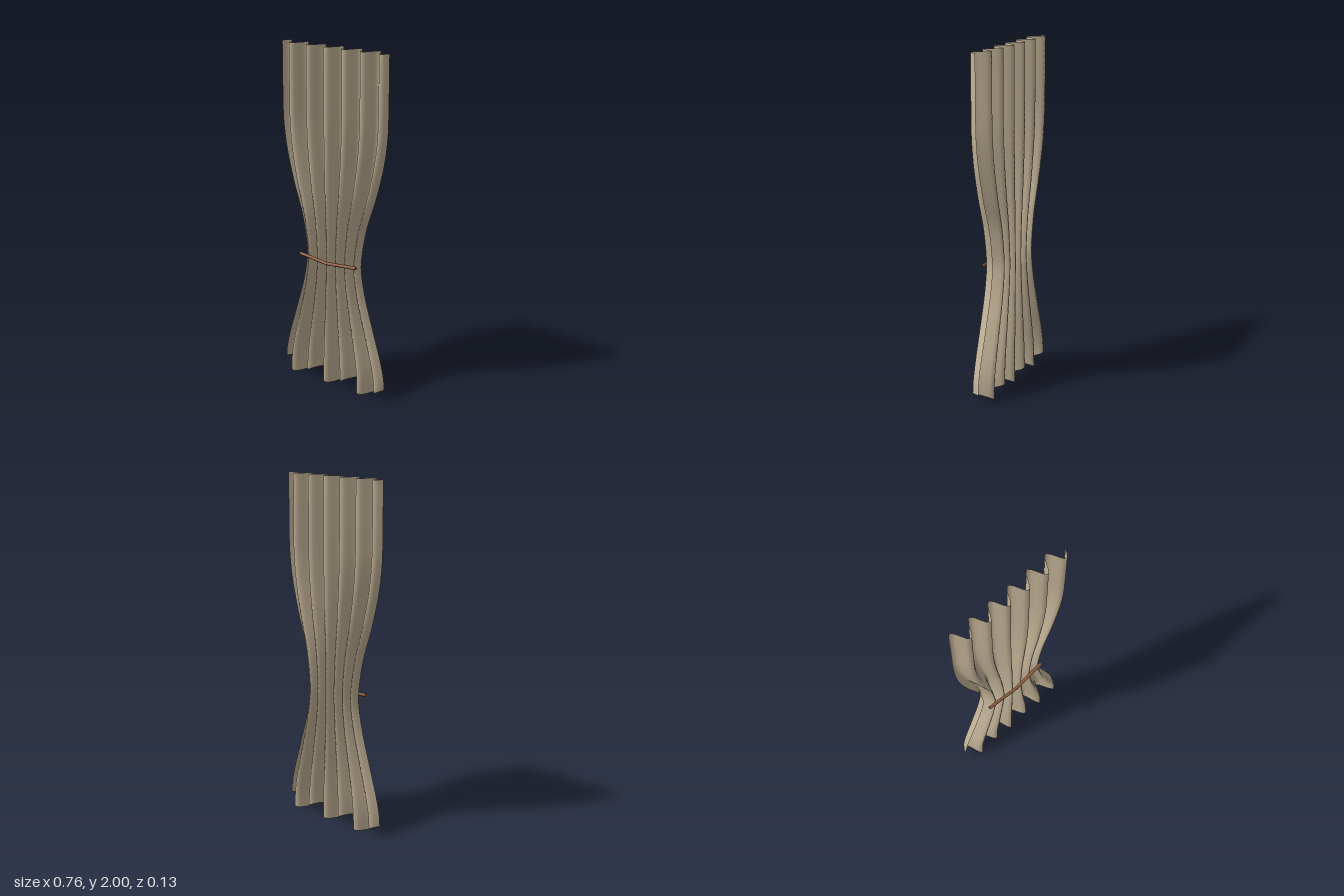
import * as THREE from 'three';

const HEIGHT = 2, FOLDS = 6;

// half width of the gathered cloth, as (half width, height) points
const sideCurve = new THREE.CatmullRomCurve3([
  [0.377, 0], [0.373, 0.1], [0.353, 0.2], [0.29, 0.4], [0.229, 0.6], [0.201, 0.75],
  [0.203, 0.82], [0.236, 1.0], [0.303, 1.2], [0.354, 1.4], [0.374, 1.55], [0.377, 1.65], [0.377, 2],
].map(([w, y]) => new THREE.Vector3(w, y, 0)));
const sidePoints = sideCurve.getPoints(200);

function halfWidthAt(y) {
  const i = Math.max(1, sidePoints.findIndex((p) => p.y >= y - 1e-6));
  const a = sidePoints[i - 1], b = sidePoints[i];
  return THREE.MathUtils.mapLinear(y, a.y, b.y, a.x, b.x);
}

// pleated sheet: sine folds, scalloped hem, pinched at the tie
function makeCurtain() {
  const geo = new THREE.PlaneGeometry(1, 1, 60, 60);
  const pos = geo.attributes.position;
  for (let i = 0; i < pos.count; i++) {
    const s = pos.getX(i), v = pos.getY(i) + 0.5;
    const hem = 0.03 - 0.03 * Math.cos(s * Math.PI * FOLDS);
    const y = hem + (HEIGHT - hem) * v;
    const depth = 0.053 - 0.009 * v;
    const z = -0.011 - depth * Math.sin(s * Math.PI * 2 * FOLDS);
    pos.setXYZ(i, s * 2 * halfWidthAt(y), y, z);
  }
  geo.computeVertexNormals();
  return geo;
}

// capped rod between two points
function makeRod(a, b, radius) {
  const dir = b.clone().sub(a);
  const geo = new THREE.CylinderGeometry(radius, radius, dir.length(), 10);
  geo.applyQuaternion(new THREE.Quaternion().setFromUnitVectors(
    new THREE.Vector3(0, 1, 0), dir.normalize()));
  const mid = a.clone().add(b).multiplyScalar(0.5);
  return geo.translate(mid.x, mid.y, mid.z);
}

export function createModel() {
  const cloth = new THREE.MeshStandardMaterial({ color: 0xc4b498, side: THREE.DoubleSide });
  cloth.name = 'beige cloth';
  const cord = new THREE.MeshStandardMaterial({ color: 0x8b5a3c });
  cord.name = 'brown cord';

  const model = new THREE.Group();
  model.name = 'curtain';

  const sheet = new THREE.Mesh(makeCurtain(), cloth);
  sheet.name = 'pleatedSheet';
  model.add(sheet);

  // tie cord across the front, bowed forward at the middle
  const tie = new THREE.Group();
  tie.name = 'tieCord';
  const middle = new THREE.Vector3(0, 0.768, 0.056);
  for (const side of [-1, 1]) {
    const end = new THREE.Vector3(side * 0.205, 0.782, 0.044);
    const half = new THREE.Mesh(makeRod(middle, end, 0.0095), cord);
    half.name = side > 0 ? 'tieCordLeft' : 'tieCordRight';
    tie.add(half);
  }
  model.add(tie);
  return model;
}
